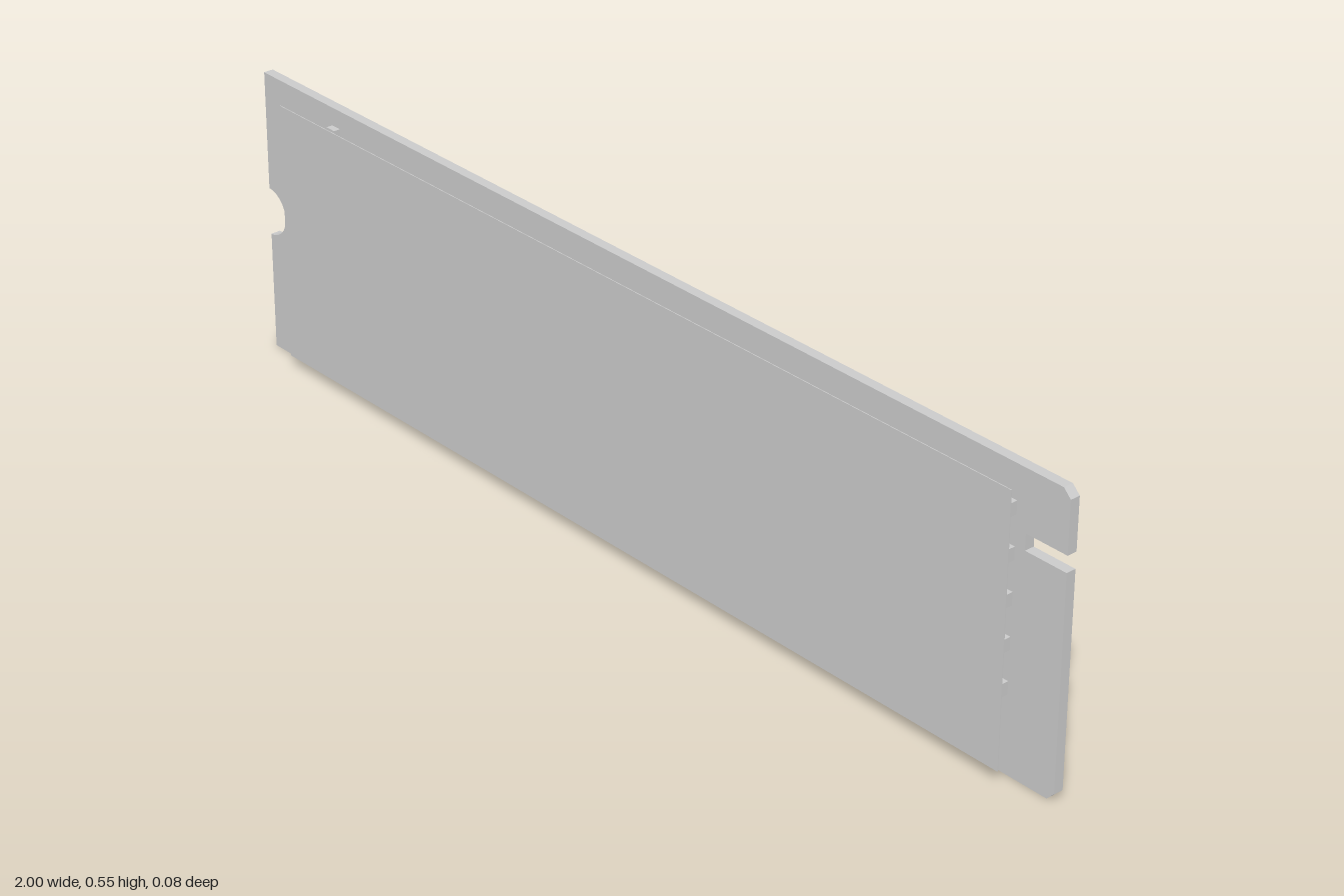
import * as THREE from 'three';

const grey = new THREE.MeshStandardMaterial({ color: 0xcccccc, flatShading: true });

export function createModel() {
  const model = new THREE.Group();
  model.name = 'circuitBoardModule';

  const add = (name, geometry) => {
    const mesh = new THREE.Mesh(geometry, grey);
    mesh.name = name;
    model.add(mesh);
    return mesh;
  };

  // Plain box given by its limits on each axis
  const block = (name, x0, x1, y0, y1, z0, z1) => {
    const mesh = add(name, new THREE.BoxGeometry(x1 - x0, y1 - y0, z1 - z0));
    mesh.position.set((x0 + x1) / 2, (y0 + y1) / 2, (z0 + z1) / 2);
  };

  // Chip package with finely bevelled edges
  const chip = (name, x0, x1, y0, y1, z0, z1) => {
    const b = 0.002;
    const s = new THREE.Shape();
    s.moveTo(x0 + b, y0 + b);
    s.lineTo(x1 - b, y0 + b);
    s.lineTo(x1 - b, y1 - b);
    s.lineTo(x0 + b, y1 - b);
    s.closePath();
    const g = new THREE.ExtrudeGeometry(s, {
      depth: z1 - z0 - 2 * b, bevelThickness: b, bevelSize: b, bevelSegments: 1,
    });
    add(name, g.translate(0, 0, z0 + b));
  };

  // Board with chamfered connector corners, key slot and screw notch
  const H = 0.552, c = 0.015, t = 0.019;
  const outline = new THREE.Shape();
  outline.moveTo(-1, 0);
  outline.lineTo(1 - c, 0);
  outline.lineTo(1, c);
  outline.lineTo(1, 0.411);
  outline.lineTo(0.913, 0.411);
  outline.lineTo(0.913, 0.441);
  outline.lineTo(1, 0.441);
  outline.lineTo(1, H - c);
  outline.lineTo(1 - c, H);
  outline.lineTo(-1, H);
  outline.absarc(-1, H / 2, 0.046, Math.PI / 2, -Math.PI / 2, true);
  outline.closePath();
  add('board', new THREE.ExtrudeGeometry(outline, { depth: t, bevelEnabled: false, curveSegments: 24 })
    .translate(0, 0, -t / 2));

  // Two memory chips on each side
  for (const [x0, x1] of [[-0.73, -0.3], [-0.243, 0.187]]) {
    chip('frontMemoryChip', x0, x1, 0.127, 0.425, 0.0115, 0.0365);
    chip('backMemoryChip', x0, x1, 0.127, 0.425, -0.0385, -0.013);
  }

  // Cache chip, controller and power part
  chip('cacheChip', 0.262, 0.458, 0.14, 0.462, 0.0115, 0.0285);
  chip('controllerChip', 0.557, 0.815, 0.147, 0.405, 0.0115, 0.0335);
  chip('powerChip', -0.905, -0.838, 0.24, 0.31, 0.0105, 0.025);
  chip('powerChipCap', -0.896, -0.845, 0.249, 0.301, 0.025, 0.036);

  // Row of capacitors beside the connector
  for (let i = 0; i < 5; i++) {
    const y = 0.157 + i * 0.08;
    block('capacitor', 0.879, 0.892, y - 0.012, y + 0.012, 0.0095, 0.022);
  }

  // Scattered small components: x, y, width, height
  const small = [
    [-0.79, 0.511, 0.022, 0.012], [0.65, 0.452, 0.024, 0.014], [0.36, 0.118, 0.024, 0.011],
    [0.62, 0.096, 0.014, 0.02], [0.7, 0.074, 0.016, 0.032], [0.76, 0.038, 0.024, 0.016],
  ];
  for (const [x, y, w, h] of small) {
    block('smallComponent', x - w / 2, x + w / 2, y - h / 2, y + h / 2, 0.0095, 0.022);
  }

  // Thin cover sheets over the chips
  block('frontSheet', -0.91, 0.91, 0.026, 0.527, 0.041, 0.0425);
  block('backSheet', -0.73, 0.187, 0.127, 0.425, -0.0395, -0.0385);

  return model;
}
